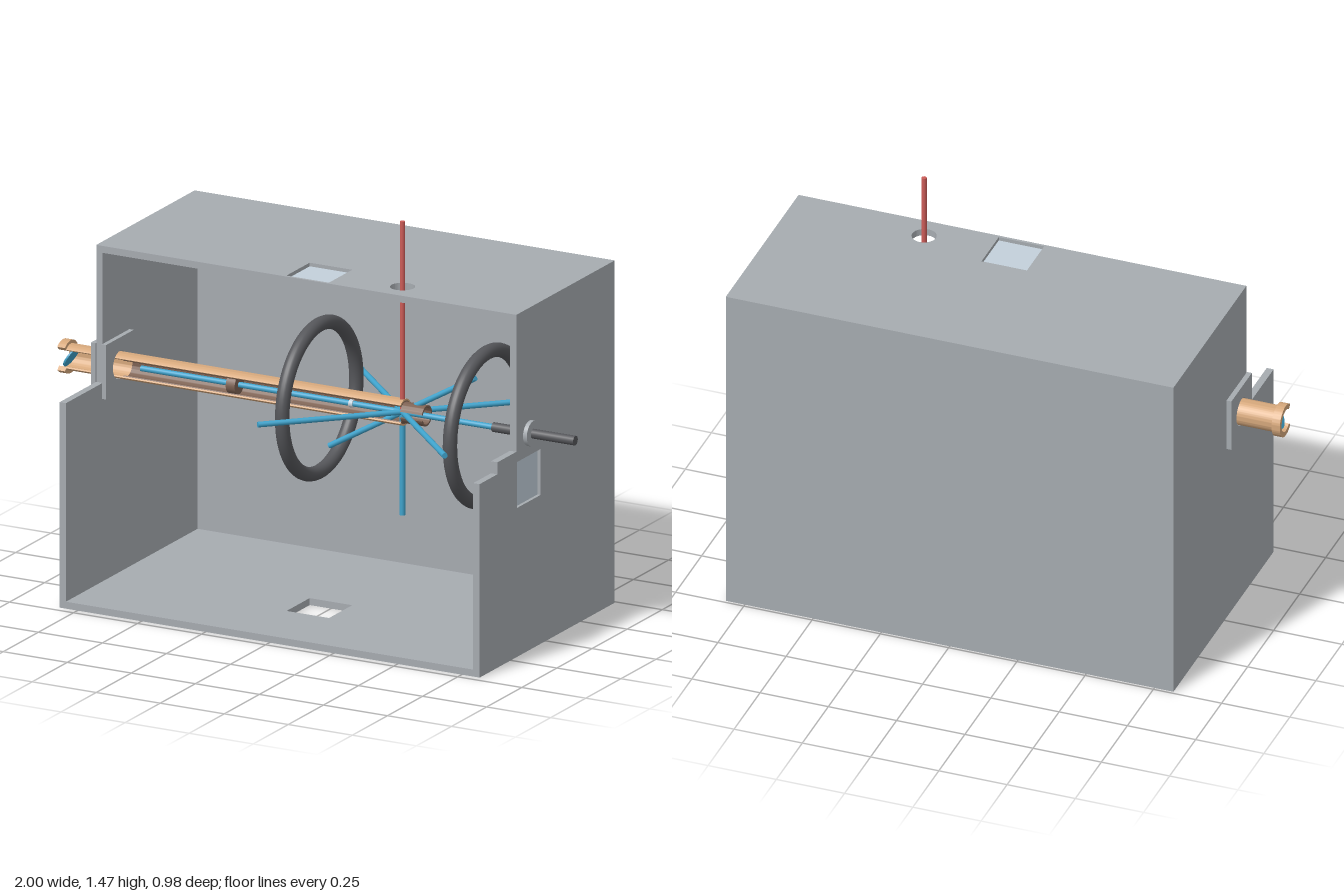
import * as THREE from 'three';
import { toCreasedNormals } from 'three/addons/utils/BufferGeometryUtils.js';

const material = (name, color) => {
  const m = new THREE.MeshStandardMaterial({ color });
  m.name = name;
  return m;
};

export function createModel() {
  const group = new THREE.Group();
  const grey = material('housing grey', 0xa6abb0);
  const dark = material('dark grey', 0x55565a);
  const tan = material('copper tan', 0xd6a87c);
  const brown = material('dark brown', 0x7d6253);
  const blue = material('beam blue', 0x3fa3cc);
  const red = material('beam red', 0xcc5c58);
  const glass = material('pale glass', 0xc3d0da);

  // Common centre where all beams cross
  const C = new THREE.Vector3(0.325, 0.78, 0.118);
  const T = 0.025;

  const add = (name, geometry, mat) => {
    const mesh = new THREE.Mesh(geometry, mat);
    mesh.name = name;
    group.add(mesh);
    return mesh;
  };
  const box = (name, mat, x0, x1, y0, y1, z0, z1) =>
    add(name, new THREE.BoxGeometry(x1 - x0, y1 - y0, z1 - z0), mat)
      .position.set((x0 + x1) / 2, (y0 + y1) / 2, (z0 + z1) / 2);
  const polygon = (points) => new THREE.Shape(points.map(([x, y]) => new THREE.Vector2(x, y)));
  const rect = (x0, x1, y0, y1) => polygon([[x0, y0], [x1, y0], [x1, y1], [x0, y1]]);
  const circle = (x, y, r) => new THREE.Path().absarc(x, y, r, 0, Math.PI * 2, true);
  const extrude = (shape, depth) => toCreasedNormals(
    new THREE.ExtrudeGeometry(shape, { depth, bevelEnabled: false, curveSegments: 32 }), 0.6);

  // Plate drawn in (z, y), filling x from xMax - depth to xMax
  const sidePlate = (name, shape, xMax, depth) =>
    add(name, extrude(shape, depth).rotateY(-Math.PI / 2).translate(xMax, 0, 0), grey);
  // Plate drawn in (x, z), filling y from yMax - T to yMax
  const flatPlate = (name, shape, yMax) =>
    add(name, extrude(shape, T).rotateX(Math.PI / 2).translate(0, yMax, 0), grey);

  // Round rod between two points
  const rod = (name, mat, a, b, r) => {
    const dir = b.clone().sub(a);
    const mesh = add(name, new THREE.CylinderGeometry(r, r, dir.length(), 20), mat);
    mesh.position.copy(a).add(b).multiplyScalar(0.5);
    mesh.quaternion.setFromUnitVectors(new THREE.Vector3(0, 1, 0), dir.normalize());
    return mesh;
  };
  const onAxis = (x) => new THREE.Vector3(x, C.y, C.z);
  const fromCentre = (x, y, z) => new THREE.Vector3(x, y, z).add(C);

  // Housing: floor and top with ports, back, and two stepped side walls
  const floor = rect(-0.795, 0.795, -0.465, 0.472);
  floor.holes.push(rect(-0.083, 0.083, 0.035, 0.2));
  flatPlate('floor', floor, T);

  const top = rect(-0.795, 0.795, -0.465, 0.21);
  top.holes.push(rect(-0.083, 0.083, 0.035, 0.2), circle(C.x, C.z, 0.043));
  flatPlate('top', top, 1.23);

  box('backWall', grey, -0.795, 0.795, 0, 1.23, -0.49, -0.465);

  const leftWall = polygon([[-0.49, 0], [0.472, 0], [0.472, 0.695], [0.345, 0.695],
    [0.345, 0.738], [0.21, 0.738], [0.21, 1.23], [-0.49, 1.23]]);
  leftWall.holes.push(rect(0.038, 0.205, 0.535, 0.7));
  sidePlate('leftWall', leftWall, 0.82, T);

  const rightWall = polygon([[-0.49, 0], [0.472, 0], [0.472, 0.738], [0.21, 0.738],
    [0.21, 1.23], [-0.49, 1.23]]);
  rightWall.holes.push(circle(C.z, C.y, 0.052));
  sidePlate('rightWall', rightWall, -0.795, T);

  // Glass panes set in the top and left ports
  box('topWindow', glass, -0.083, 0.083, 1.208, 1.217, 0.035, 0.2);
  box('sideWindow', glass, 0.799, 0.808, 0.535, 0.7, 0.038, 0.205);

  // Square flange plates clamped on both faces of the right wall
  for (const xMax of [-0.82, -0.778]) {
    const flange = rect(0.02, 0.216, 0.682, 0.878);
    flange.holes.push(circle(C.z, C.y, 0.05));
    sidePlate('tubeFlange', flange, xMax, 0.018);
  }

  // Tube along x with a slot open to the front
  const slottedTube = (name, mat, x0, x1, outer, inner, half = Math.PI * 0.75) => {
    const s = new THREE.Shape();
    s.absarc(0, 0, outer, -half, half, false);
    s.absarc(0, 0, inner, half, -half, true);
    s.closePath();
    return add(name, extrude(s, x1 - x0).rotateY(Math.PI / 2).translate(x0, C.y, C.z), mat);
  };
  slottedTube('slottedTube', tan, -0.99, 0.335, 0.047, 0.041);
  slottedTube('tubeHead', tan, -1, -0.97, 0.059, 0.041);
  slottedTube('tubeLiner', brown, -0.75, 0.335, 0.041, 0.037);
  slottedTube('tubeTip', brown, 0.335, 0.42, 0.037, 0.03, Math.PI * 0.9);
  rod('lensMount', brown, onAxis(-0.347), onAxis(-0.312), 0.034);
  rod('smallLens', glass, onAxis(0.12), onAxis(0.135), 0.014);

  // Tilted mirror in the tube mouth
  const mirror = add('mirror', new THREE.CylinderGeometry(0.04, 0.04, 0.006, 32), blue);
  mirror.position.copy(onAxis(-0.968));
  mirror.rotation.z = Math.PI / 3;

  // Two coil rings
  for (const x of [0, 0.655]) {
    const coil = add('coilRing', new THREE.TorusGeometry(0.264, 0.025, 20, 72), dark);
    coil.rotation.y = Math.PI / 2;
    coil.position.copy(onAxis(x));
  }

  // Feed rod with its collar through the left wall
  rod('feedRod', dark, onAxis(0.68), onAxis(1), 0.017);
  rod('rodCollar', grey, onAxis(0.793), onAxis(0.835), 0.045);

  // Beams crossing at the centre
  const B = 0.365;
  rod('axialBeam', blue, onAxis(-0.695), onAxis(0.69), 0.01);
  for (const s of [1, -1])
    rod('diagonalBeam', blue, fromCentre(-B * s, 0, -B), fromCentre(B * s, 0, B), 0.01);
  rod('slantedBeam', blue, fromCentre(-0.285, -0.165, 0), fromCentre(0.285, 0.165, 0), 0.01);
  rod('lowerBeam', blue, C, fromCentre(0, -0.37, 0), 0.01);
  rod('upperBeam', red, C, fromCentre(0, 0.685, 0), 0.009);

  return group;
}
